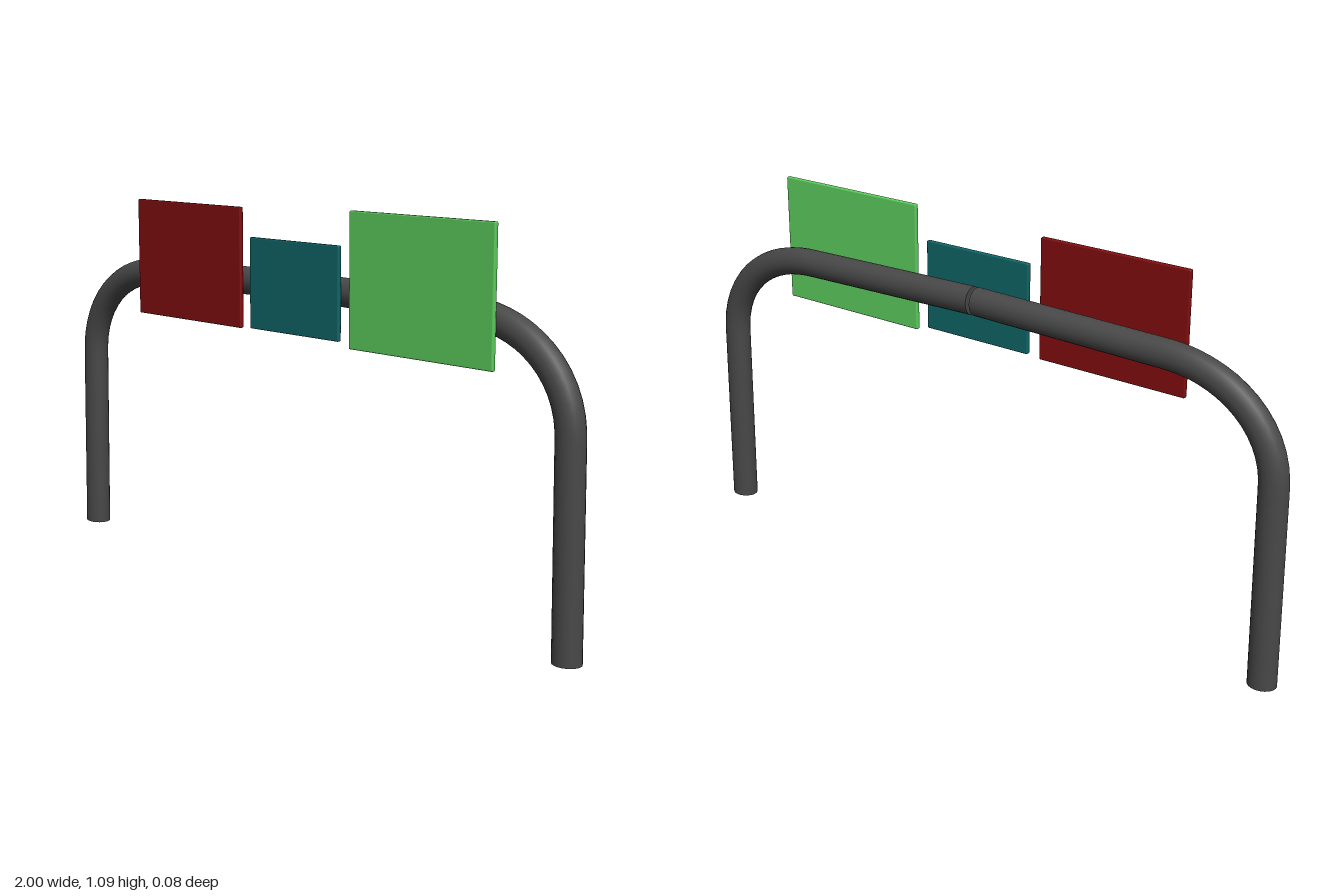
import * as THREE from 'three';
import { RoundedBoxGeometry } from 'three/addons/geometries/RoundedBoxGeometry.js';

const RADIUS = 0.041; // pipe radius in the plane of the arch
const SQUASH = 0.88; // pipe is a little thinner front to back

// One bent half of the arch: leg, bend and top rail, side = +1 or -1
function createHalfPipe(side, material) {
  const p = (x, y) => new THREE.Vector3(side * x, y, 0);
  const path = new THREE.CurvePath();
  path.add(new THREE.LineCurve3(p(0.958, 0), p(0.948, 0.58)));
  path.add(new THREE.CubicBezierCurve3(p(0.948, 0.58), p(0.942, 0.74), p(0.80, 0.85), p(0.62, 0.854)));
  path.add(new THREE.LineCurve3(p(0.62, 0.854), p(0.006, 0.865)));

  const half = new THREE.Group();
  const tube = new THREE.Mesh(new THREE.TubeGeometry(path, 48, RADIUS, 20), material);
  tube.name = 'pipe';
  half.add(tube);

  // Flat caps close both ends
  for (const [t, name, dir] of [[0, 'footCap', -1], [1, 'railCap', 1]]) {
    const cap = new THREE.Mesh(new THREE.CircleGeometry(RADIUS, 20), material);
    const normal = path.getTangentAt(t).multiplyScalar(dir);
    cap.position.copy(path.getPointAt(t));
    cap.quaternion.setFromUnitVectors(new THREE.Vector3(0, 0, 1), normal);
    cap.name = name;
    half.add(cap);
  }
  half.scale.z = SQUASH;
  half.position.set(-0.002, 0, -0.004);
  half.name = side > 0 ? 'leftPipeHalf' : 'rightPipeHalf';
  return half;
}

// Thin plate fixed to the front of the rail
function createPanel(name, color, x0, x1, y0, y1) {
  const geometry = new RoundedBoxGeometry(x1 - x0, y1 - y0, 0.014, 2, 0.004);
  const panel = new THREE.Mesh(geometry, new THREE.MeshStandardMaterial({ color }));
  panel.position.set((x0 + x1) / 2, (y0 + y1) / 2, 0.037);
  panel.name = name;
  return panel;
}

export function createModel() {
  const model = new THREE.Group();
  model.name = 'archWithPanels';

  const pipeMaterial = new THREE.MeshStandardMaterial({ color: 0x484848 });
  for (const side of [-1, 1]) model.add(createHalfPipe(side, pipeMaterial));

  model.add(createPanel('redPanel', 0x800d0f, -0.66, -0.197, 0.728, 1.077));
  model.add(createPanel('tealPanel', 0x0f6466, -0.157, 0.197, 0.732, 0.994));
  model.add(createPanel('greenPanel', 0x5ccc5c, 0.237, 0.735, 0.717, 1.091));
  return model;
}
